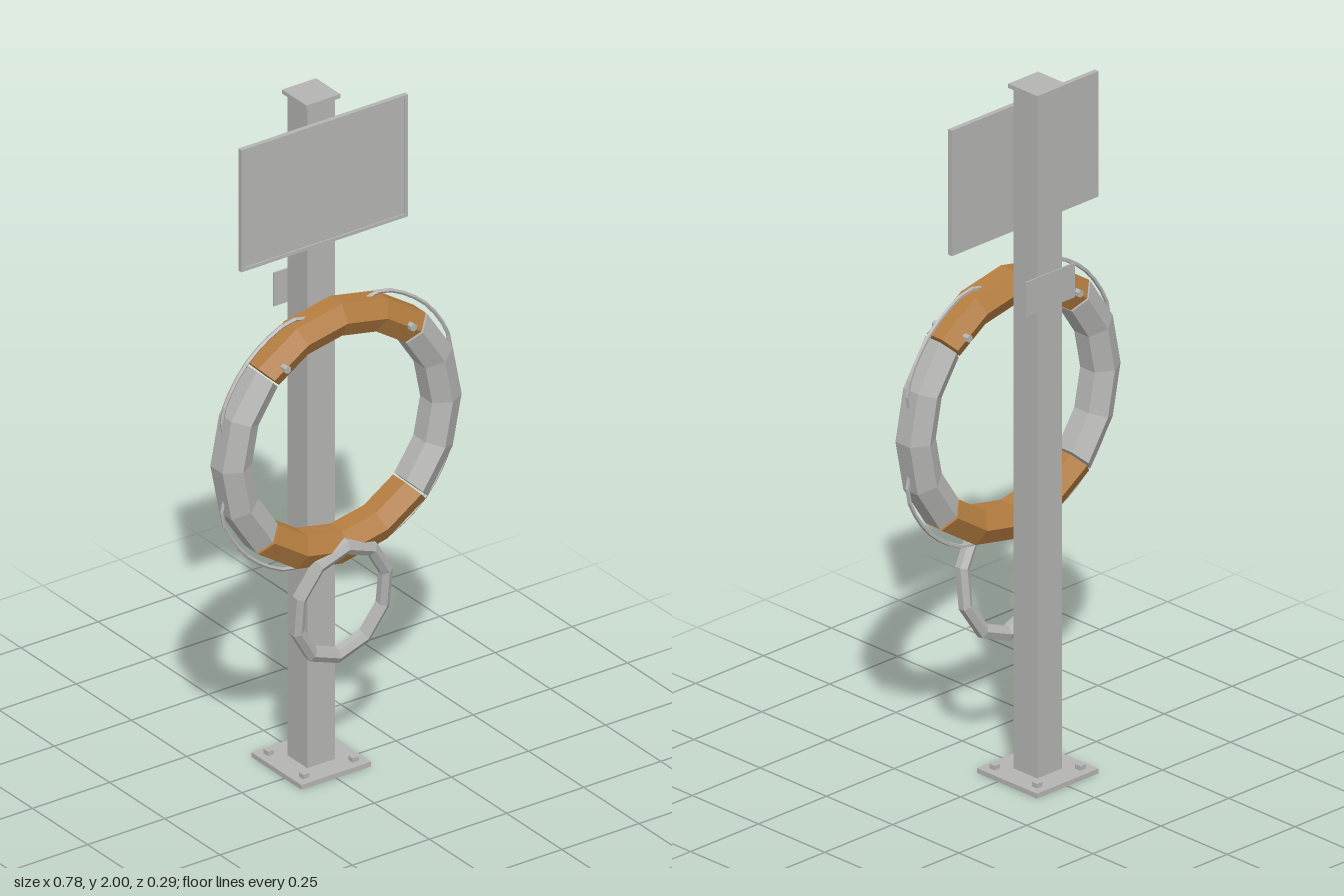
import * as THREE from 'three';
import { mergeGeometries } from 'three/addons/utils/BufferGeometryUtils.js';

export function createModel() {
  const model = new THREE.Group();
  const grey = new THREE.MeshStandardMaterial({ color: 0xb4b4b2, flatShading: true });
  grey.name = 'grey';
  const orange = new THREE.MeshStandardMaterial({ color: 0xb47d40, flatShading: true });
  orange.name = 'orange';
  const rad = THREE.MathUtils.degToRad;

  function add(name, geometry, x, y, z, material = grey, parent = model) {
    const mesh = new THREE.Mesh(geometry, material);
    mesh.name = name;
    mesh.position.set(x, y, z);
    parent.add(mesh);
    return mesh;
  }
  const box = (name, w, h, d, x, y, z, parent) =>
    add(name, new THREE.BoxGeometry(w, h, d), x, y, z, grey, parent);

  // Hexagonal tube bent about z, with a flat outer side
  function hexRing(R, r, startDeg, sweepDeg, segments) {
    const profile = [];
    for (let i = 0; i <= 6; i++) {
      const a = rad(30 + 60 * i);
      profile.push(new THREE.Vector2(R + r * Math.cos(a), r * Math.sin(a)));
    }
    const tube = new THREE.LatheGeometry(profile, segments, rad(startDeg + 90), rad(sweepDeg));
    tube.rotateX(Math.PI / 2);
    if (sweepDeg === 360) return tube;
    const cap = (deg, turn) => new THREE.CircleGeometry(r, 6, rad(30))
      .rotateX(turn).translate(R, 0, 0).rotateZ(rad(deg));
    return mergeGeometries([tube, cap(startDeg, Math.PI / 2), cap(startDeg + sweepDeg, -Math.PI / 2)]);
  }

  // Post with base plate, bolts and cap
  const postZ = -0.035;
  box('basePlate', 0.226, 0.014, 0.226, 0, 0.007, postZ);
  box('post', 0.09, 1.98, 0.09, 0, 1.0, postZ);
  box('postCap', 0.11, 0.012, 0.11, 0, 1.994, postZ);
  for (const x of [-0.08, 0.08])
    for (const z of [-0.08, 0.08]) box('baseBolt', 0.02, 0.014, 0.02, x, 0.02, postZ + z);

  // Sign board with a raised rim
  const sign = new THREE.Group();
  sign.name = 'sign';
  sign.position.set(0, 1.753, 0);
  model.add(sign);
  box('signPanel', 0.53, 0.356, 0.01, 0, 0, 0.017, sign);
  for (const s of [-1, 1]) {
    box('signRimSide', 0.01, 0.364, 0.014, s * 0.265, 0, 0.019, sign);
    box('signRimEdge', 0.54, 0.01, 0.014, 0, s * 0.177, 0.019, sign);
  }

  // Back plate that carries the hanger
  box('backBracket', 0.18, 0.1, 0.004, 0, 1.418, -0.081);

  // Life ring in four arcs
  const ring = new THREE.Group();
  ring.name = 'lifeRing';
  ring.position.set(0, 1.04, 0.077);
  model.add(ring);
  for (let i = 0; i < 4; i++) {
    add(i % 2 ? 'ringBandOrange' : 'ringBandGrey',
      hexRing(0.34, 0.055, -44.4 + 90 * i, 88.8, 4), 0, 0, 0, i % 2 ? orange : grey, ring);
  }

  // Grab ropes across the band joints
  const ropePoints = [[-31, 0.372], [-22.5, 0.4], [0, 0.408], [22.5, 0.4], [31, 0.372]];
  for (let i = 0; i < 4; i++) {
    const curve = new THREE.CatmullRomCurve3(ropePoints.map(([deg, r]) => {
      const a = rad(45 + 90 * i + deg);
      return new THREE.Vector3(r * Math.cos(a), r * Math.sin(a), 0);
    }));
    add('grabRope', new THREE.TubeGeometry(curve, 10, 0.006, 5), 0, 0, 0, grey, ring);
  }

  // Pegs holding the ring
  for (const s of [-1, 1]) {
    const peg = new THREE.CylinderGeometry(0.011, 0.011, 0.134, 6).rotateX(Math.PI / 2);
    add('ringPeg', peg, s * 0.204, 1.31, 0.078);
  }

  // Hanging rope loop, leaning forward at the top
  const loop = add('ropeLoop', hexRing(0.146, 0.02, 90, 360, 10), 0, 0.54, 0.101);
  loop.scale.set(1, 1.18, 1);
  loop.rotation.x = 0.12;

  return model;
}
